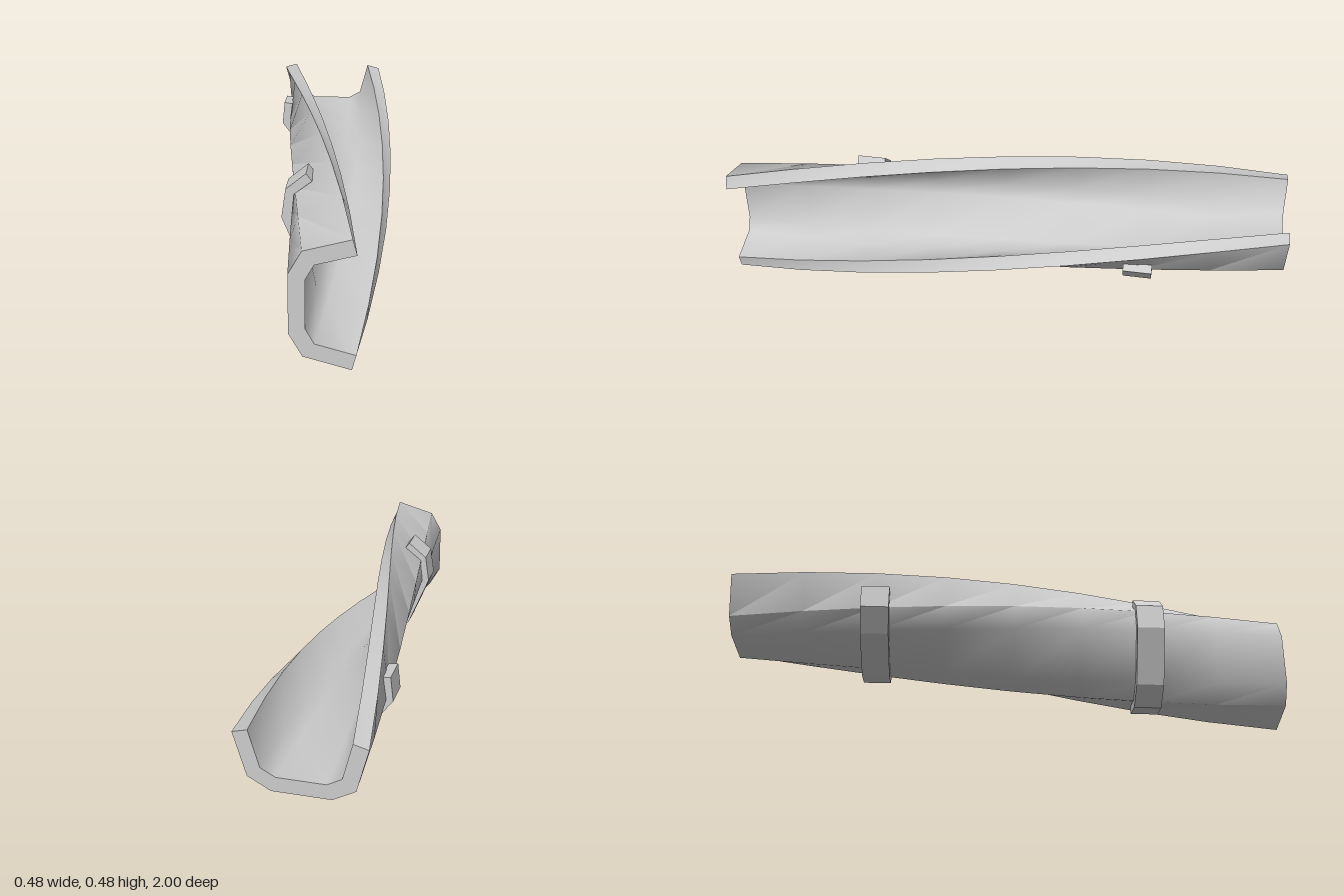
import * as THREE from 'three';
import { toCreasedNormals } from 'three/addons/utils/BufferGeometryUtils.js';

const AXIS = { x: -0.036, y: 0.208 }; // twist axis, on the back of the channel
const twistAt = (z) => (1 - z) * Math.PI / 4; // quarter turn from front to back

// Closed C-shaped outline from the upper half of its outer and inner edges
function cShape(outer, inner) {
  const mirror = (pts) => pts.map(([x, y]) => [x, -y]).reverse();
  const ring = [...outer, ...mirror(outer), ...mirror(inner).reverse(), ...[...inner].reverse()];
  // ring order: outer top to bottom, then inner bottom to top
  const n = outer.length * 2;
  const back = [...inner, ...mirror(inner)].reverse();
  return new THREE.Shape([...ring.slice(0, n), ...back].map(([x, y]) => new THREE.Vector2(x, y)));
}

export function createModel() {
  const group = new THREE.Group();
  const material = new THREE.MeshStandardMaterial({ color: 0xcccccc });

  // Channel: extruded along z, then twisted about the axis
  const channelShape = cShape(
    [[0.186, 0.2065], [0.041, 0.167], [0, 0.094]],
    [[0.199, 0.158], [0.076, 0.125], [0.05, 0.078]]
  );
  const geometry = new THREE.ExtrudeGeometry(channelShape, { depth: 2, steps: 8, bevelEnabled: false });
  geometry.translate(0, 0, -1);
  const pos = geometry.attributes.position;
  const v = new THREE.Vector3();
  const zAxis = new THREE.Vector3(0, 0, 1);
  for (let i = 0; i < pos.count; i++) {
    v.fromBufferAttribute(pos, i);
    v.applyAxisAngle(zAxis, twistAt(v.z));
    pos.setXYZ(i, v.x + AXIS.x, v.y + AXIS.y, v.z);
  }
  const channel = new THREE.Mesh(toCreasedNormals(geometry, THREE.MathUtils.degToRad(55)), material);
  channel.name = 'twistedChannel';
  group.add(channel);

  // Two clips hugging the outside of the channel
  const clipShape = cShape(
    [[0.105, 0.213], [0.0226, 0.188], [-0.027, 0.104]],
    [[0.113, 0.182], [0.042, 0.163], [0.003, 0.09]]
  );
  for (const [name, z] of [['frontClip', 0.5], ['backClip', -0.5]]) {
    const clipGeometry = new THREE.ExtrudeGeometry(clipShape, { depth: 0.1, bevelEnabled: false });
    clipGeometry.translate(0, 0, -0.05);
    const clip = new THREE.Mesh(clipGeometry, material);
    clip.name = name;
    clip.position.set(AXIS.x, AXIS.y, z);
    clip.rotation.z = twistAt(z);
    group.add(clip);
  }
  return group;
}
